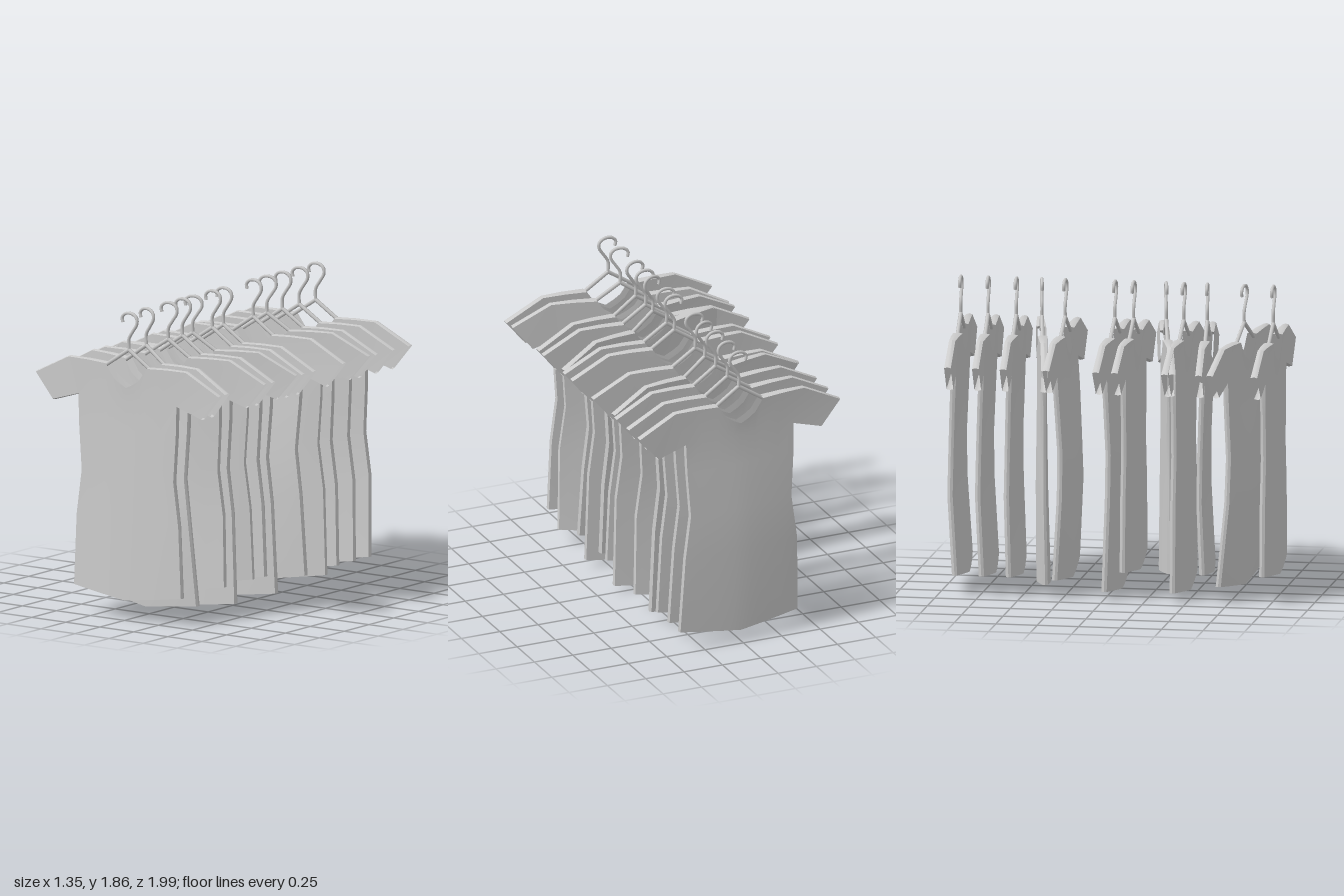
import * as THREE from 'three';
import { toCreasedNormals } from 'three/addons/utils/BufferGeometryUtils.js';

const cloth = new THREE.MeshStandardMaterial({ color: 0xcccccc, side: THREE.DoubleSide });
const metal = new THREE.MeshStandardMaterial({ color: 0xcccccc, side: THREE.DoubleSide });

// Half-panel columns (0 = centre, 1 = side) and the neck-to-shoulder line above them
const COLS = [0, 0.14, 0.27, 0.41, 0.7, 1];
const TOP = [[0, 1.406], [0.05, 1.43], [0.095, 1.46], [0.15, 1.538], [0.29, 1.545], [0.43, 1.545]];
const CUFF_TOP = { x: 0.67, y: 1.425, t: 0.02, b: 0 };
const CUFF_LOW = { x: 0.545, y: 1.275, t: 0.02, b: 0 };

// Hollow garment: front and back panels joined by a seam band; neck, cuffs and hem stay open
function dressGeometry(hem, mid, end) {
  // rows: height, half width, centre half-depth, sideways bend
  const rows = [
    [hem + 0.05, 0.392, 0.043, end],
    [0.6, 0.373, 0.037, mid],
    [0.87, 0.336, 0.033, mid * 0.9],
    [1.15, 0.355, 0.029, mid * 0.4],
    [1.33, 0.36, 0.027, 0],
  ];
  const depth = (centre, f) => 0.016 + (centre - 0.016) * (1 - f ** 1.5);
  const grid = rows.map(([y, w, d, b], r) => COLS.map((f) => ({
    x: w * f, y: r === 0 ? y - 0.05 * (1 - f) : y, t: depth(d, f), b,
  })));
  grid.push(TOP.map(([x, y], c) => ({ x, y, t: depth(0.032, COLS[c]) + 0.003 * COLS[c], b: 0 })));

  const last = COLS.length - 1;
  const armpit = grid[4][last], shoulder = grid[5][last];
  const upperSeam = [grid[5][3], grid[5][4], shoulder, CUFF_TOP];
  const lowerSeam = [CUFF_LOW, ...[4, 3, 2, 1, 0].map((r) => grid[r][last])];

  // seam points sit slightly outside the panel outline
  const seamOf = (line) => line.map((p, i) => {
    const a = line[Math.max(i - 1, 0)], c = line[Math.min(i + 1, line.length - 1)];
    const l = Math.hypot(c.x - a.x, c.y - a.y);
    return { x: p.x - 0.006 * (c.y - a.y) / l, y: p.y + 0.006 * (c.x - a.x) / l, t: 0, b: p.b };
  });

  const pos = [];
  for (const s of [1, -1]) for (const k of [1, -1]) {
    const quad = (...q) => {
      if (s * k < 0) q.reverse();
      for (const i of [0, 1, 2, 0, 2, 3]) pos.push(s * q[i].x, q[i].y, k * q[i].t + q[i].b);
    };
    // body
    for (let r = 0; r < grid.length - 1; r++) for (let c = 0; c < last; c++) {
      quad(grid[r][c], grid[r][c + 1], grid[r + 1][c + 1], grid[r + 1][c]);
    }
    // sleeve
    quad(armpit, CUFF_LOW, CUFF_TOP, shoulder);
    // seam bands
    for (const line of [upperSeam, lowerSeam]) {
      const seam = seamOf(line);
      for (let i = 0; i < line.length - 1; i++) quad(line[i], line[i + 1], seam[i + 1], seam[i]);
    }
  }
  const g = new THREE.BufferGeometry();
  g.setAttribute('position', new THREE.Float32BufferAttribute(pos, 3));
  return toCreasedNormals(g, 0.6);
}

// Wire hanger: bent hook and two sloping arms
const v = (x, y) => new THREE.Vector3(x, y, 0);
const hookPath = new THREE.CatmullRomCurve3([
  v(0, 1.63), v(0, 1.7), v(0.03, 1.75), v(0.058, 1.795), v(0.055, 1.83), v(0.025, 1.852),
  v(-0.025, 1.85), v(-0.05, 1.825), v(-0.045, 1.795),
], false, 'centripetal');
const hookGeometry = new THREE.TubeGeometry(hookPath, 28, 0.01, 6);
const armGeometry = (s) => new THREE.TubeGeometry(
  new THREE.LineCurve3(v(0, 1.633), v(s * 0.18, 1.515)), 1, 0.012, 6);
const armGeometries = [armGeometry(1), armGeometry(-1)];

function part(name, geometry, material) {
  const m = new THREE.Mesh(geometry, material);
  m.name = name;
  return m;
}

// z, slope of z along x, hem height, bend at the hips, bend at the hem
const GARMENTS = [
  [-0.93, -0.055, 0.07, -0.02, 0.01],
  [-0.765, -0.06, 0.07, -0.02, 0.005],
  [-0.595, -0.055, 0.07, -0.015, 0],
  [-0.44, -0.195, 0.03, 0, 0.01],
  [-0.3, 0, 0.06, 0.03, 0.005],
  [0, 0, 0, 0.02, 0.003],
  [0.113, 0, 0.12, 0, 0],
  [0.31, -0.225, 0.12, 0, 0],
  [0.415, 0, 0.005, 0, 0],
  [0.557, -0.095, 0.12, -0.02, 0],
  [0.78, 0.14, 0.05, 0.012, -0.035],
  [0.955, 0, 0.12, 0, 0],
];

export function createModel() {
  const model = new THREE.Group();
  model.name = 'dressesOnHangers';
  for (const [z, slope, hem, mid, end] of GARMENTS) {
    const item = new THREE.Group();
    item.name = 'hangingDress';
    item.add(part('dress', dressGeometry(hem, mid, end), cloth));
    item.add(part('hangerHook', hookGeometry, metal));
    armGeometries.forEach((g, i) => item.add(part(i ? 'hangerArmRight' : 'hangerArmLeft', g, metal)));
    item.position.z = z;
    item.rotation.y = -Math.asin(slope);
    model.add(item);
  }
  return model;
}
